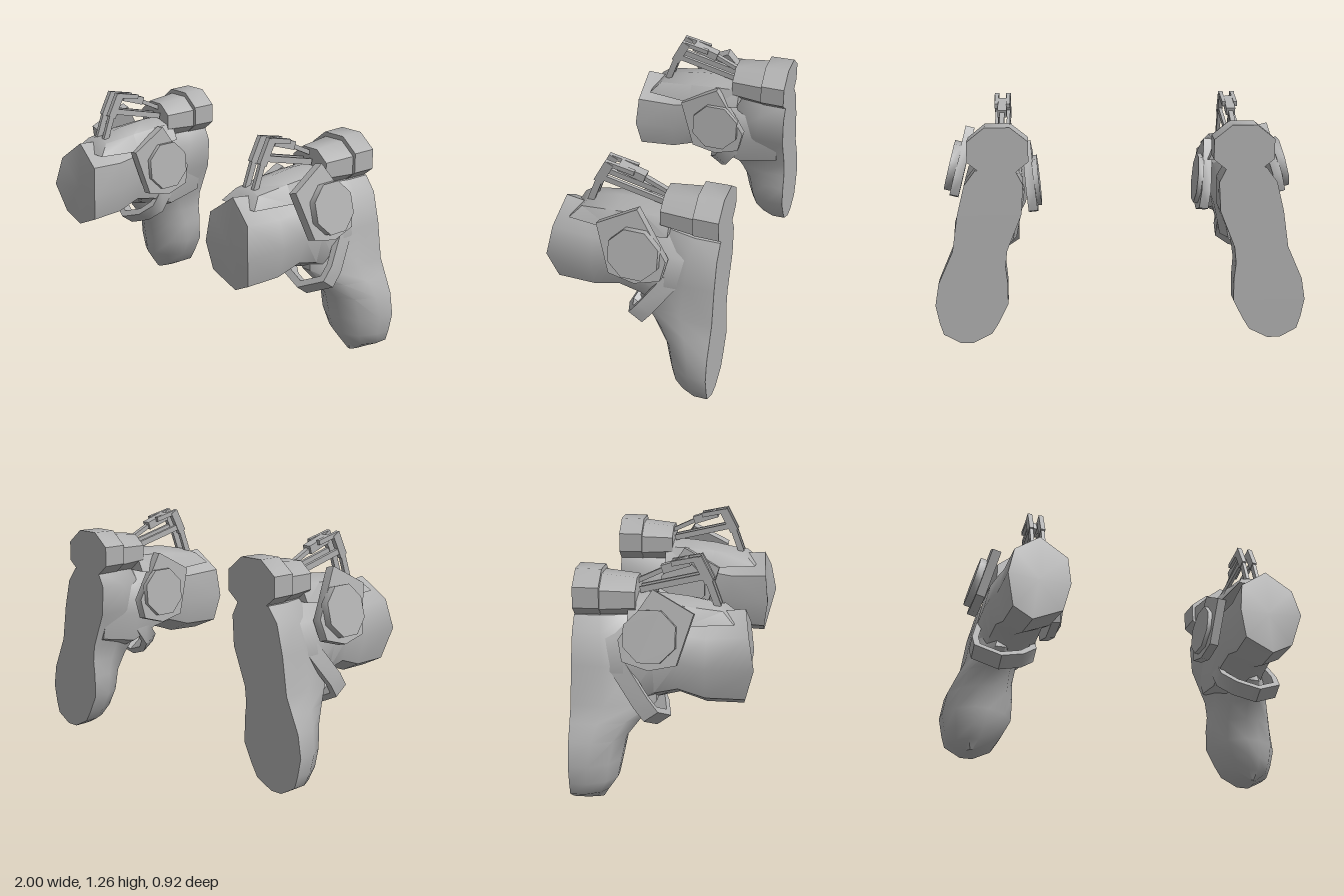
import * as THREE from 'three';
import { toCreasedNormals } from 'three/addons/utils/BufferGeometryUtils.js';

const V = (x, y, z) => new THREE.Vector3(x, y, z);

// Swap two corners of every triangle of a non-indexed geometry
function flip(geo) {
  const p = geo.attributes.position;
  for (let i = 0; i < p.count; i += 3) {
    const a = V().fromBufferAttribute(p, i + 1), b = V().fromBufferAttribute(p, i + 2);
    p.setXYZ(i + 1, b.x, b.y, b.z);
    p.setXYZ(i + 2, a.x, a.y, a.z);
  }
  return geo;
}

// Skin closed rings of points, cap both ends, and make the faces point outward
function loft(rings) {
  const out = [];
  const tri = (a, b, c) => out.push(...a, ...b, ...c);
  const n = rings[0].length;
  for (let r = 0; r < rings.length - 1; r++) {
    for (let i = 0; i < n; i++) {
      const j = (i + 1) % n, A = rings[r], B = rings[r + 1];
      tri(A[i], A[j], B[j]);
      tri(A[i], B[j], B[i]);
    }
  }
  const cap = (ring, back) => {
    const c = [0, 1, 2].map(k => ring.reduce((s, p) => s + p[k], 0) / n);
    for (let i = 0; i < n; i++) {
      const j = (i + 1) % n;
      back ? tri(c, ring[j], ring[i]) : tri(c, ring[i], ring[j]);
    }
  };
  cap(rings[0], true);
  cap(rings[rings.length - 1], false);
  const geo = new THREE.BufferGeometry();
  geo.setAttribute('position', new THREE.Float32BufferAttribute(out, 3));
  let volume = 0;
  for (let i = 0; i < out.length; i += 9) {
    volume += V(...out.slice(i, i + 3)).dot(V(...out.slice(i + 3, i + 6)).cross(V(...out.slice(i + 6, i + 9))));
  }
  return volume < 0 ? flip(geo) : geo;
}

const extrude = (pts, depth) => new THREE.ExtrudeGeometry(
  new THREE.Shape(pts.map(p => new THREE.Vector2(...p))), { depth, bevelEnabled: false });

// Box running from a to b, w wide in x and h tall
function beam(a, b, w, h) {
  const geo = new THREE.BoxGeometry(w, h, a.distanceTo(b));
  const m = new THREE.Matrix4().lookAt(b, a, V(0, 1, 0));
  return geo.applyMatrix4(m).translate((a.x + b.x) / 2, (a.y + b.y) / 2, (a.z + b.z) / 2);
}

// Eight-sided drum along z, flat sides up
function drum(rFront, rBack, z0, z1, cx, cy, sx) {
  const k = 1 / Math.cos(Math.PI / 8);
  return new THREE.CylinderGeometry(rFront * k, rBack * k, z1 - z0, 8)
    .rotateY(Math.PI / 8).rotateX(Math.PI / 2).scale(sx, 1, 1).translate(cx, cy, (z0 + z1) / 2);
}

// Forward barrel: one octagonal outline, resized along z
function barrel() {
  const outline = [[-0.02, 1], [0.8, 0.55], [1, -0.1], [0.75, -0.78], [0.12, -1], [-0.8, -0.72], [-1, -0.1], [-0.9, 0.55]];
  const sections = [ // z, centre x, half width, bottom, top
    [0.4, 0.66, 0.175, 0.495, 0.99], [0.21, 0.675, 0.165, 0.5, 0.97], [0.07, 0.685, 0.165, 0.55, 0.98],
    [-0.05, 0.69, 0.17, 0.52, 1.0], [-0.2, 0.7, 0.17, 0.45, 0.98], [-0.42, 0.7, 0.15, 0.5, 0.95]];
  return loft(sections.map(([z, cx, hw, y0, y1], s) => outline.map(([u, v]) => [
    cx + u * hw, (y0 + y1) / 2 + v * (y1 - y0) / 2,
    z + (s ? 0 : (1 - Math.abs(v)) * (u > 0 ? 0.065 : 0.035))])));
}

// Lower grip: D-shaped slices stacked upward, flat at the back
function grip() {
  const back = -0.465;
  const slices = [ // y, inner x, outer x, front z
    [0.005, 0.8, 0.87, -0.31], [0.055, 0.7, 0.96, -0.28], [0.12, 0.66, 0.98, -0.235], [0.22, 0.61, 1.0, -0.215],
    [0.34, 0.61, 0.98, -0.19], [0.43, 0.62, 0.94, -0.12], [0.52, 0.61, 0.9, -0.04], [0.72, 0.53, 0.87, -0.06],
    [0.88, 0.52, 0.83, -0.1], [0.96, 0.56, 0.77, -0.14]];
  const d = [[1, 0], [1, 0.4], [0.7, 0.8], [0.2, 1], [-0.2, 1], [-0.7, 0.8], [-1, 0.4], [-1, 0]];
  return loft(slices.map(([y, x0, x1, zf]) => d.map(([u, v]) =>
    [(x0 + x1) / 2 + u * (x1 - x0) / 2, y, back + v * (zf - back)])));
}

// Saddle over the barrel with forward-pointing sides
function saddle() {
  const arch = [[-0.145, 0], [-0.1, 0.75], [0, 1], [0.1, 0.75], [0.145, 0]];
  const sections = [[0.27, 0.93, 1.01], [0.1, 0.92, 1.045], [-0.05, 0.92, 1.06], [-0.19, 0.94, 1.06]];
  return loft(sections.map(([z, y0, y1], s) => arch.map(([x, v]) =>
    [0.64 + x * (s ? 1 : 0.85), y0 + v * (y1 - y0), z + (s ? 0 : (1 - v) * 0.08)])));
}

// Shield plate or round boss on one side (s = 1 outer, -1 inner)
function sidePlate(s, pts, x, depth) {
  const geo = extrude(pts.map(([z, y]) => [-s * z, y]), depth);
  geo.rotateY(s * Math.PI / 2).rotateZ(s > 0 ? 0.25 : -0.1);
  return s > 0 ? geo.translate(x, 0.9, -0.04) : geo.translate(x, 0.82, -0.06);
}
const shield = [[0.2, 0.1], [-0.01, 0.215], [-0.178, -0.04], [-0.155, -0.15], [-0.02, -0.19], [0.12, -0.16]];
const boss = Array.from({ length: 8 }, (_, i) => {
  const a = (i + 0.5) * Math.PI / 4;
  return [-0.015 + 0.142 * Math.cos(a), -0.008 + 0.142 * Math.sin(a)];
});

// U-shaped guard lying in a sloping plane
function guard() {
  const pts = [[0.86, 0.33], [0.91, 0.12], [0.905, 0.03], [0.76, -0.05], [0.63, 0], [0.55, 0.08], [0.55, 0.2],
    [0.585, 0.2], [0.585, 0.1], [0.645, 0.035], [0.76, -0.01], [0.87, 0.05], [0.875, 0.12], [0.825, 0.33]];
  const m = new THREE.Matrix4().makeBasis(V(1, 0, 0), V(0, 0.81, -0.586), V(0, 0.586, 0.81));
  return extrude(pts, 0.09).translate(0, 0, -0.045).applyMatrix4(m).translate(0, 0.45, -0.035);
}

// Linkage standing on top
function linkage() {
  const cx = 0.635, parts = [];
  for (const s of [-1, 1]) {
    const x = cx + s * 0.032;
    parts.push(['linkagePost', beam(V(x, 1.0, 0.26), V(x, 1.15, 0.205), 0.02, 0.035)]);
    parts.push(['linkageElbow', beam(V(x, 1.125, 0.215), V(x, 1.25, 0.15), 0.026, 0.05)]);
    parts.push(['linkageArm', beam(V(x, 1.245, 0.16), V(x, 1.215, 0.02), 0.02, 0.026)]);
    parts.push(['linkageLowerBar', beam(V(x, 1.155, 0.19), V(x, 1.075, -0.14), 0.018, 0.032)]);
  }
  parts.push(['linkageBlock', beam(V(cx, 1.225, 0.11), V(cx, 1.18, -0.03), 0.05, 0.045)]);
  parts.push(['linkageRod', beam(V(cx, 1.18, -0.02), V(cx, 1.105, -0.18), 0.026, 0.024)]);
  return parts;
}

export function createModel() {
  const gray = new THREE.MeshStandardMaterial({ color: 0xb0b0b0 });
  gray.name = 'gray';
  const parts = [
    ['barrel', barrel()],
    ['grip', grip()],
    ['saddle', saddle()],
    ['rearCollar', drum(0.128, 0.13, -0.465, -0.33, 0.65, 1.058, 1.24)],
    ['rearNeck', drum(0.1, 0.118, -0.34, -0.15, 0.65, 1.045, 1.22)],
    ['outerShield', sidePlate(1, shield, 0.84, 0.05)],
    ['outerBoss', sidePlate(1, boss, 0.885, 0.045)],
    ['innerShield', sidePlate(-1, shield, 0.51, 0.05)],
    ['innerBoss', sidePlate(-1, boss, 0.465, 0.03)],
    ['guard', guard()],
    ...linkage(),
  ];
  const model = new THREE.Group();
  for (const side of [1, -1]) {
    const half = new THREE.Group();
    half.name = side > 0 ? 'leftUnit' : 'rightUnit';
    for (const [name, source] of parts) {
      let geo = source.index ? source.toNonIndexed() : source.clone();
      if (side < 0) geo = flip(geo.scale(-1, 1, 1));
      geo.clearGroups();
      geo.computeVertexNormals();
      const mesh = new THREE.Mesh(toCreasedNormals(geo, 0.82), gray);
      mesh.name = name;
      half.add(mesh);
    }
    model.add(half);
  }
  return model;
}
